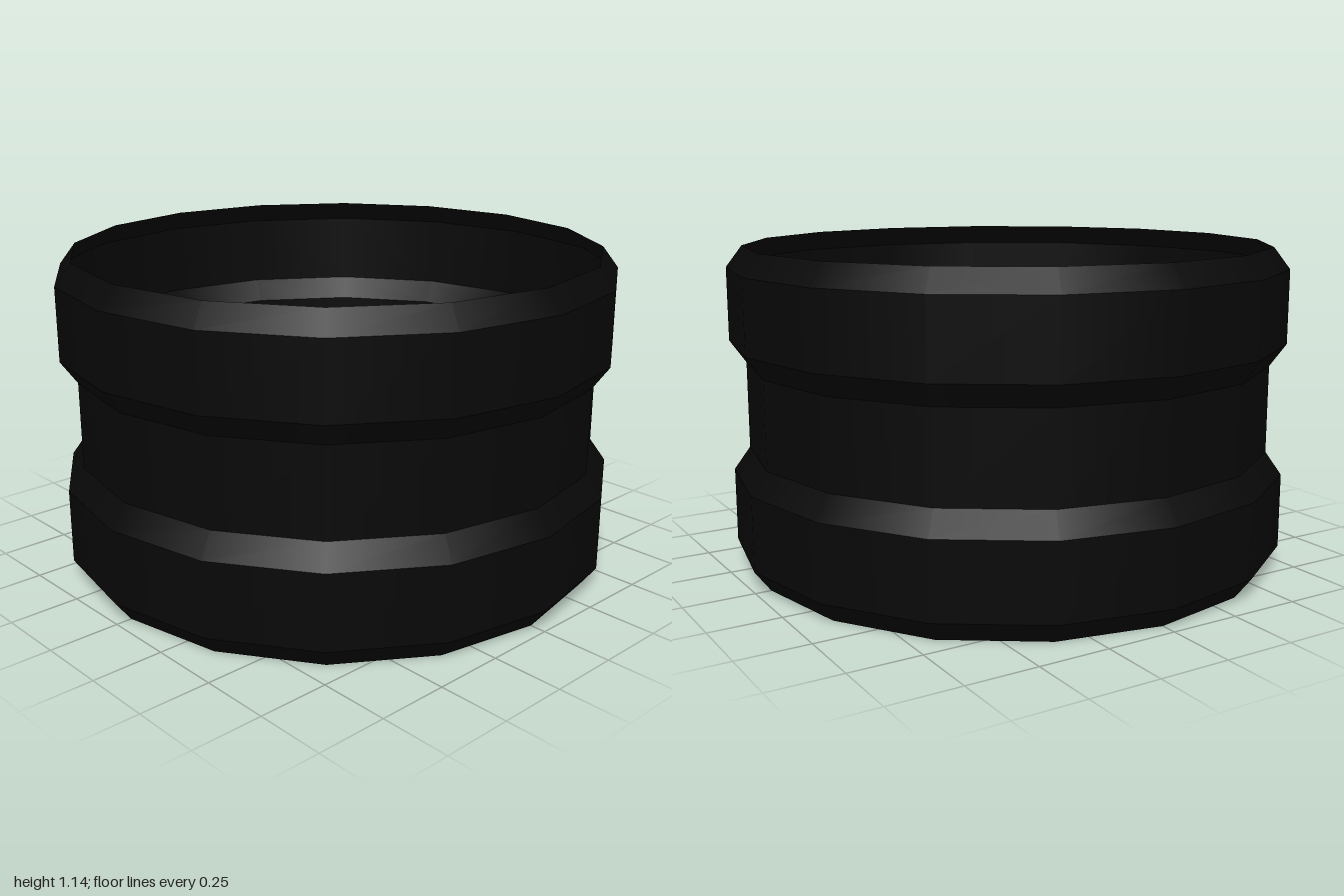
import * as THREE from 'three';
import { mergeGeometries } from 'three/addons/utils/BufferGeometryUtils.js';

const SIDES = 16;
const WIDE = 1.0;
const NARROW = 0.943;

// Profile of the thin wall as [radius, height], from bottom to top
const PROFILE = [
  [NARROW, 0], [WIDE, 0.075], [WIDE, 0.34], [NARROW, 0.42],
  [NARROW, 0.73], [WIDE, 0.81], [WIDE, 1.07], [NARROW, 1.145],
];

// One open band between two profile points; separate bands keep the creases sharp
function band([r0, y0], [r1, y1]) {
  const geometry = new THREE.CylinderGeometry(r1, r0, y1 - y0, SIDES, 1, true);
  return geometry.translate(0, (y0 + y1) / 2, 0);
}

export function createModel() {
  const black = new THREE.MeshStandardMaterial({ color: 0x080808, side: THREE.DoubleSide });
  black.name = 'black';

  const group = new THREE.Group();
  group.name = 'groovedRing';

  // Adds the bands from one profile point to another as a named part
  const addPart = (name, from, to) => {
    const bands = [];
    for (let i = from; i < to; i++) bands.push(band(PROFILE[i], PROFILE[i + 1]));
    const mesh = new THREE.Mesh(mergeGeometries(bands), black);
    mesh.name = name;
    group.add(mesh);
  };

  addPart('lowerRib', 0, 3);
  addPart('middleGroove', 3, 4);
  addPart('upperRib', 4, 7);

  return group;
}
